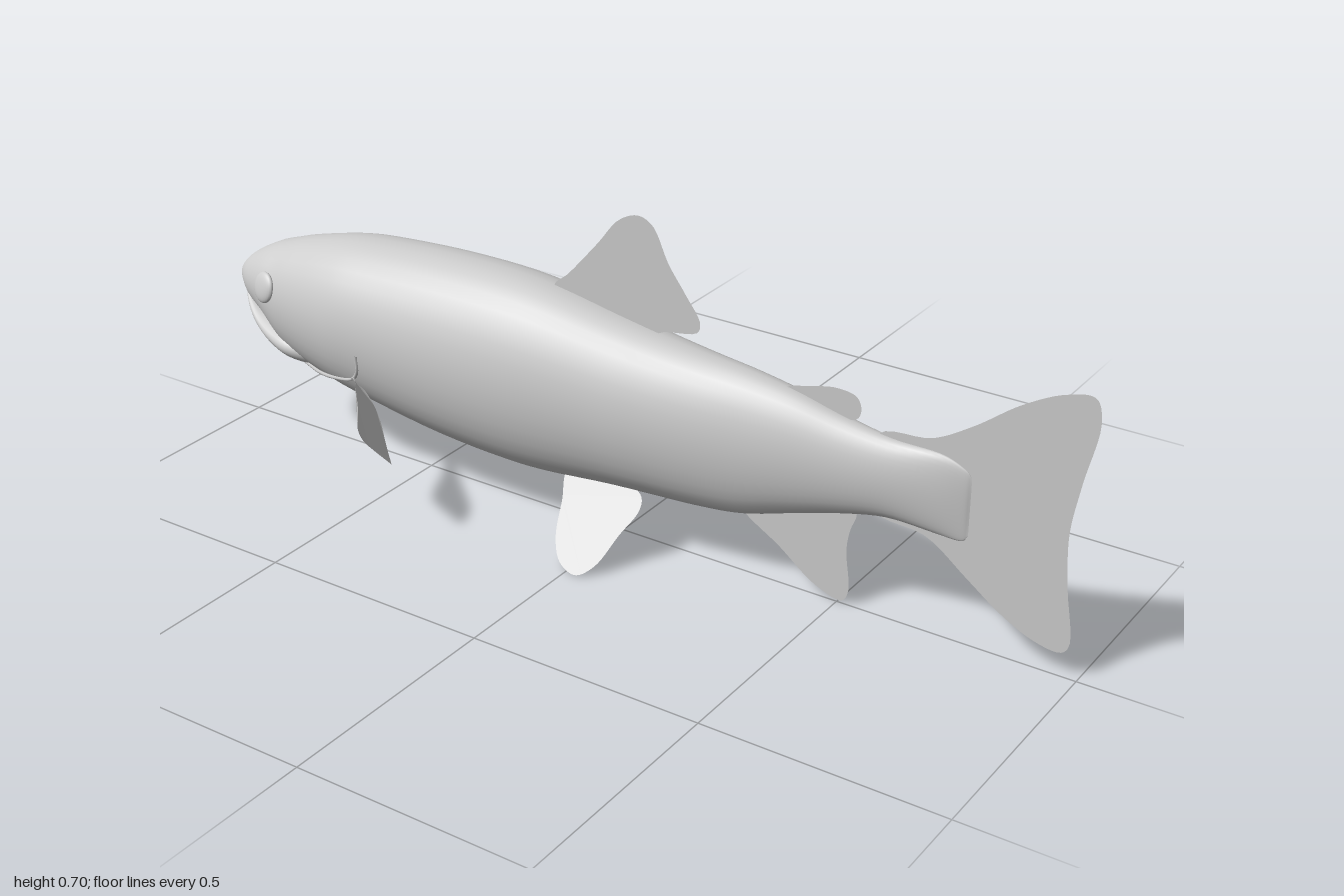
import * as THREE from 'three';

const skin = new THREE.MeshStandardMaterial({ color: 0xcccccc, side: THREE.DoubleSide });
skin.name = 'pale grey skin';
const SIDES = 36;

// Stations: [x, top y, bottom y, half width]
const BODY = [
  [-1, 0.345, 0.345, 0], [-0.998, 0.362, 0.33, 0.02], [-0.98, 0.383, 0.312, 0.04], [-0.95, 0.405, 0.288, 0.063],
  [-0.9, 0.432, 0.262, 0.088], [-0.85, 0.45, 0.215, 0.103], [-0.8, 0.466, 0.19, 0.116], [-0.7, 0.49, 0.165, 0.136],
  [-0.6, 0.503, 0.148, 0.147], [-0.4, 0.515, 0.117, 0.15], [-0.2, 0.511, 0.105, 0.143], [0, 0.478, 0.12, 0.122],
  [0.1, 0.462, 0.125, 0.11], [0.2, 0.45, 0.129, 0.096], [0.3, 0.44, 0.14, 0.081], [0.4, 0.424, 0.17, 0.066],
  [0.5, 0.4, 0.2, 0.051], [0.6, 0.384, 0.221, 0.036], [0.7, 0.382, 0.217, 0.018], [0.75, 0.365, 0.215, 0.006],
  [0.765, 0.35, 0.23, 0],
];
const JAW = [
  [-0.992, 0.308, 0.308, 0], [-0.988, 0.315, 0.292, 0.02], [-0.96, 0.297, 0.262, 0.045], [-0.92, 0.28, 0.234, 0.068],
  [-0.87, 0.272, 0.211, 0.088], [-0.81, 0.27, 0.193, 0.1], [-0.74, 0.26, 0.185, 0.08],
];

// Smoothly interpolated stations
function sections(stations, count) {
  const a = new THREE.CatmullRomCurve3(stations.map(s => new THREE.Vector3(s[0], s[1], s[2])), false, 'catmullrom');
  const b = new THREE.CatmullRomCurve3(stations.map(s => new THREE.Vector3(s[3], 0, 0)), false, 'catmullrom');
  return Array.from({ length: count + 1 }, (_, i) => {
    const p = a.getPoint(i / count);
    return { x: p.x, mid: (p.y + p.z) / 2, half: (p.y - p.z) / 2, width: Math.max(0, b.getPoint(i / count).x) };
  });
}

// Oval rings joined along x, a little fuller below the middle
function loft(rings) {
  const pos = [], index = [];
  rings.forEach((r, i) => {
    for (let j = 0; j < SIDES; j++) {
      const t = j / SIDES * Math.PI * 2, c = Math.cos(t), s = Math.sin(t);
      const z = Math.sign(c) * Math.abs(c) ** (s < 0 ? 0.8 : 0.97);
      pos.push(r.x, r.mid + r.half * s, r.width * z);
      if (i === rings.length - 1) continue;
      const k = (j + 1) % SIDES, a = i * SIDES, b = a + SIDES;
      index.push(a + j, b + j, a + k, b + j, b + k, a + k);
    }
  });
  const g = new THREE.BufferGeometry();
  g.setAttribute('position', new THREE.Float32BufferAttribute(pos, 3));
  g.setIndex(index);
  g.computeVertexNormals();
  return g;
}

// Thin sheet inside a smooth closed outline of [x, y, z] points
function finGeometry(points, samples = 72) {
  const curve = new THREE.CatmullRomCurve3(points.map(p => new THREE.Vector3(p[0], p[1], p[2] || 0)), true, 'centripetal');
  const outline = curve.getPoints(samples).slice(0, -1);
  const faces = THREE.ShapeUtils.triangulateShape(outline.map(p => new THREE.Vector2(p.x, p.y)), []);
  const g = new THREE.BufferGeometry().setFromPoints(outline);
  g.setIndex(faces.flat());
  g.computeVertexNormals();
  return g;
}

export function createModel() {
  const model = new THREE.Group();
  model.name = 'fish';
  const add = (name, geometry) => {
    const mesh = new THREE.Mesh(geometry, skin);
    mesh.name = name;
    model.add(mesh);
    return mesh;
  };

  // Body and lower jaw
  const rings = sections(BODY, 100);
  add('body', loft(rings));
  add('lowerJaw', loft(sections(JAW, 28)));

  const surfaceZ = (x, y) => {
    const r = rings.find(q => q.x >= x);
    const s = (y - r.mid) / r.half;
    return r.width * Math.sqrt(Math.max(0, 1 - s * s)) ** (s < 0 ? 0.8 : 0.97);
  };

  // Fins on the centre line
  add('dorsalFin', finGeometry([
    [-0.165, 0.505], [-0.13, 0.54], [-0.06, 0.62], [-0.01, 0.68], [0.035, 0.699], [0.068, 0.685], [0.105, 0.615],
    [0.145, 0.56], [0.178, 0.51], [0.172, 0.488], [0.09, 0.468], [0.05, 0.44], [-0.1, 0.47],
  ]));
  add('adiposeFin', finGeometry([
    [0.37, 0.424], [0.43, 0.445], [0.48, 0.455], [0.522, 0.448], [0.533, 0.425], [0.525, 0.403], [0.49, 0.395], [0.42, 0.39],
  ]));
  add('analFin', finGeometry([
    [0.28, 0.145], [0.37, 0.08], [0.45, 0.022], [0.51, 0.006], [0.524, 0.03], [0.516, 0.12], [0.522, 0.165],
    [0.534, 0.2], [0.53, 0.225], [0.45, 0.22], [0.35, 0.18],
  ]));
  add('tailFin', finGeometry([
    [0.57, 0.385], [0.68, 0.408], [0.76, 0.455], [0.85, 0.523], [0.93, 0.565], [0.985, 0.573], [0.999, 0.53],
    [0.975, 0.4], [0.96, 0.295], [0.966, 0.19], [0.98, 0.07], [0.965, 0.05], [0.91, 0.056], [0.84, 0.09],
    [0.77, 0.14], [0.68, 0.203], [0.57, 0.225],
  ], 96));

  // Paired fins, eyes and gill edges
  const pelvic = [
    [-0.1, 0.135], [-0.08, 0.09], [-0.055, 0.04], [-0.02, 0.01], [0.025, 0.001], [0.055, 0.02], [0.075, 0.07],
    [0.092, 0.11], [0.08, 0.13], [0, 0.145],
  ].map(([x, y]) => [x, y, 0.055 + (0.13 - y) * 1.16]);
  const pectoral = [
    [-0.595, 0.235, 0.135], [-0.57, 0.252, 0.155], [-0.5, 0.268, 0.23], [-0.42, 0.277, 0.318], [-0.4, 0.262, 0.344],
    [-0.4, 0.235, 0.333], [-0.412, 0.185, 0.285], [-0.43, 0.125, 0.22], [-0.446, 0.106, 0.195],
    [-0.475, 0.12, 0.172], [-0.53, 0.17, 0.132], [-0.575, 0.21, 0.12],
  ];
  const gill = [[-0.57, 0.3], [-0.575, 0.26], [-0.6, 0.232], [-0.66, 0.213], [-0.72, 0.203], [-0.79, 0.204]];
  for (const [side, m] of [['left', 1], ['right', -1]]) {
    const mirror = pts => pts.map(([x, y, z]) => [x, y, z * m]);
    add(side + 'PelvicFin', finGeometry(mirror(pelvic)));
    add(side + 'PectoralFin', finGeometry(mirror(pectoral)));

    const path = new THREE.CatmullRomCurve3(gill.map(([x, y]) => new THREE.Vector3(x, y, m * (surfaceZ(x, y) - 0.001))));
    add(side + 'GillEdge', new THREE.TubeGeometry(path, 24, 0.004, 6));

    const eye = add(side + 'Eye', new THREE.SphereGeometry(0.034, 24, 16));
    eye.position.set(-0.865, 0.365, m * (surfaceZ(-0.865, 0.365) - 0.002));
    eye.rotation.set(-0.25 * m, -0.3 * m, 0);
    eye.scale.z = 0.35;
  }
  return model;
}
